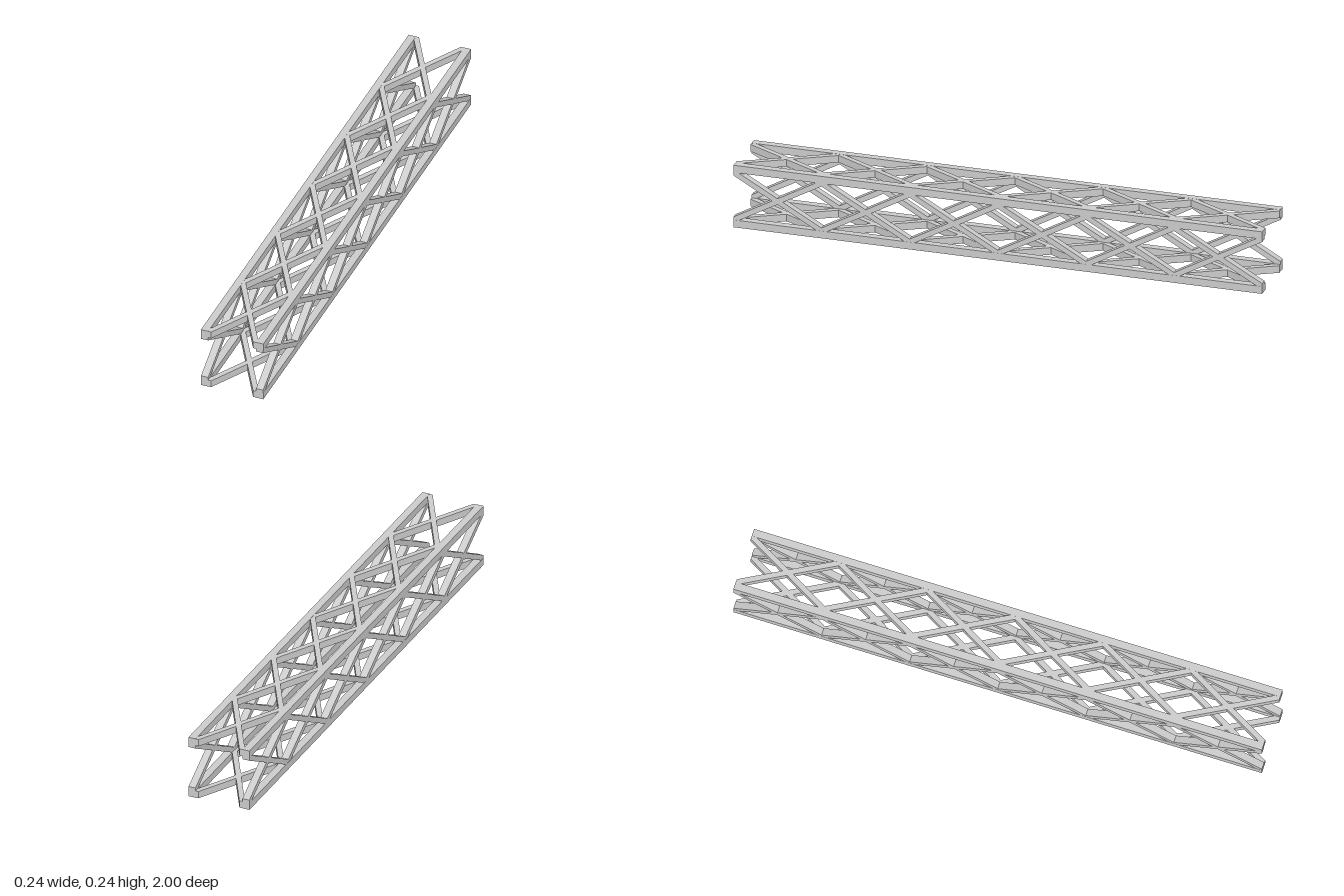
import * as THREE from 'three';

const LENGTH = 2, BAYS = 6;
const CHORD = 0.0285;            // side of the square chords
const OFFSET = 0.107;            // chord centre from the truss axis
const AXIS_Y = 0.1225;           // height of the truss axis
const BRACE_WIDTH = 0.02, BRACE_DEPTH = 0.0275;

const material = new THREE.MeshStandardMaterial({ color: 0xcccccc, flatShading: true });

// Diagonal strip trimmed to the rectangle of one bay; slope is 1 or -1
function braceGeometry(slope) {
  const L = LENGTH / BAYS / 2, H = OFFSET - CHORD / 2;
  const diagonal = Math.hypot(L, H);
  const dx = (BRACE_WIDTH / 2) * diagonal / H;
  const dy = (BRACE_WIDTH / 2) * diagonal / L;
  const outline = [
    [L, H], [L - dx, H], [-L, -H + dy], [-L, -H], [-L + dx, -H], [L, H - dy],
  ].map(([x, y]) => new THREE.Vector2(x, y * slope));
  const geometry = new THREE.ExtrudeGeometry(new THREE.Shape(outline), {
    depth: BRACE_DEPTH, bevelEnabled: false,
  });
  geometry.translate(0, 0, -BRACE_DEPTH / 2);
  return geometry.rotateY(Math.PI / 2);
}

export function createModel() {
  const truss = new THREE.Group();
  truss.name = 'boxTruss';

  // Four long corner chords
  const chordGeometry = new THREE.BoxGeometry(CHORD, CHORD, LENGTH);
  for (const sx of [-1, 1]) {
    for (const sy of [-1, 1]) {
      const chord = new THREE.Mesh(chordGeometry, material);
      chord.name = `${sy > 0 ? 'top' : 'bottom'}${sx > 0 ? 'Left' : 'Right'}Chord`;
      chord.position.set(sx * OFFSET, AXIS_Y + sy * OFFSET, 0);
      truss.add(chord);
    }
  }

  // Crossed braces in every bay of the four faces
  const braces = [braceGeometry(1), braceGeometry(-1)];
  ['left', 'top', 'right', 'bottom'].forEach((side, k) => {
    const panel = new THREE.Group();
    panel.name = `${side}Bracing`;
    panel.position.y = AXIS_Y;
    panel.rotation.z = k * Math.PI / 2;
    for (let i = 0; i < BAYS; i++) {
      braces.forEach((geometry) => {
        const brace = new THREE.Mesh(geometry, material);
        brace.name = 'diagonalBrace';
        brace.position.set(OFFSET, 0, -LENGTH / 2 + (i + 0.5) * LENGTH / BAYS);
        panel.add(brace);
      });
    }
    truss.add(panel);
  });

  return truss;
}
